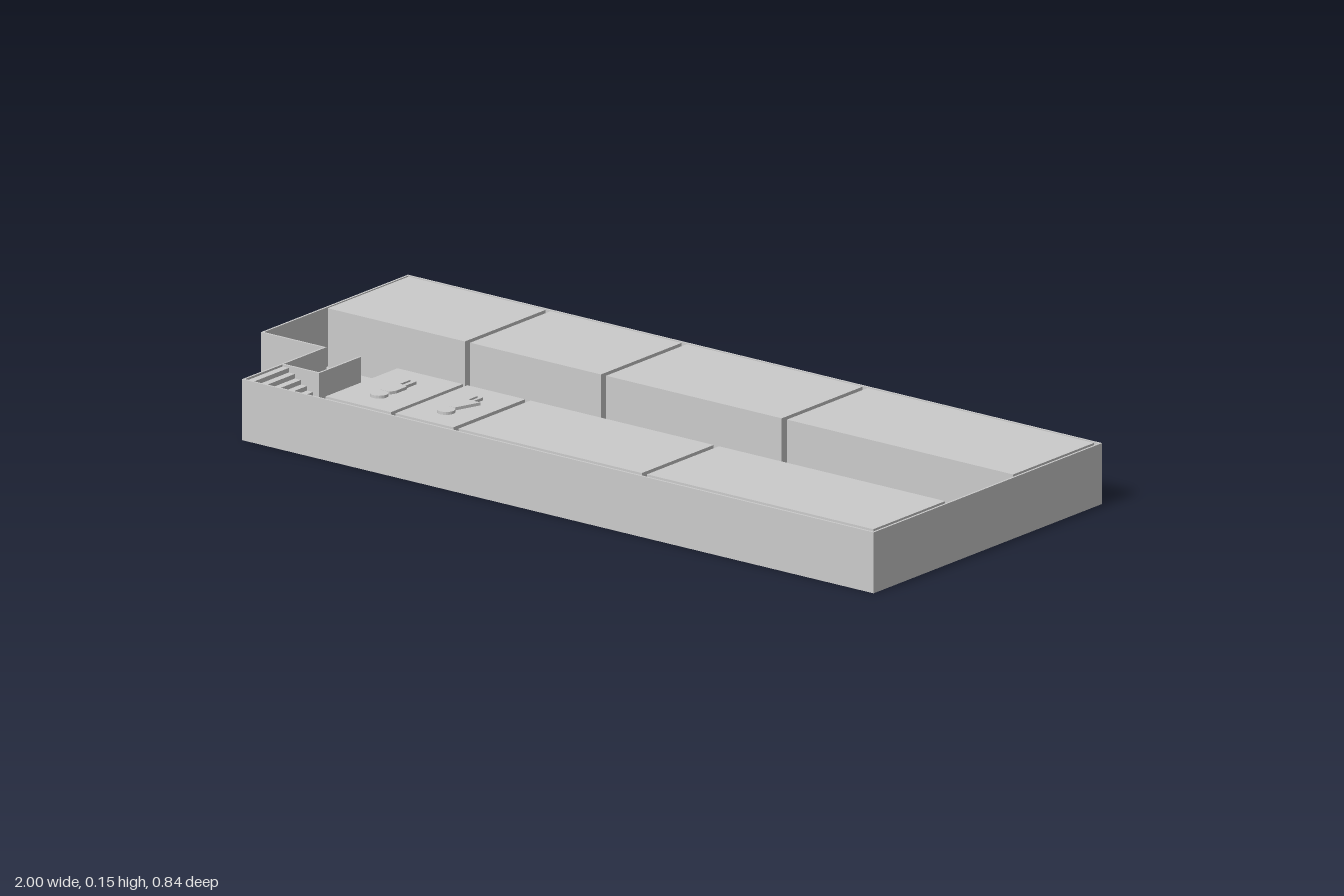
import * as THREE from 'three';

const H = 0.145, FLOOR = 0.004;
const material = new THREE.MeshStandardMaterial({ color: 0xcccccc, flatShading: true });

function box(name, x0, x1, y0, y1, z0, z1) {
  const mesh = new THREE.Mesh(new THREE.BoxGeometry(x1 - x0, y1 - y0, z1 - z0), material);
  mesh.position.set((x0 + x1) / 2, (y0 + y1) / 2, (z0 + z1) / 2);
  mesh.name = name;
  return mesh;
}

// Extrudes a plan drawn in (x, -z) upwards from height y
function slab(name, shape, y, height) {
  const geo = new THREE.ExtrudeGeometry(shape, { depth: height, bevelEnabled: false, curveSegments: 10 });
  geo.rotateX(-Math.PI / 2);
  const mesh = new THREE.Mesh(geo, material);
  mesh.position.y = y;
  mesh.name = name;
  return mesh;
}

// Building outline with the notched corner, inset by t, as (x, -z)
const outline = (t) => [
  [-1 + t, -0.12 + t], [-0.82 + t, -0.12 + t], [-0.82 + t, -0.418 + t],
  [1 - t, -0.418 + t], [1 - t, 0.418 - t], [-1 + t, 0.418 - t],
].map(([x, y]) => new THREE.Vector2(x, y));

// Raised pictogram of a standing person; half is the right half of the body
function figure(name, x, half) {
  const group = new THREE.Group();
  const mirrored = half.map(([a, b]) => [-a, b]).reverse();
  const points = [...half, ...mirrored].map(([a, b]) => new THREE.Vector2(a, b));
  const head = new THREE.Shape();
  head.absarc(0, -0.322, 0.021, 0, Math.PI * 2);
  group.add(slab(name + 'Head', head, H, 0.007));
  group.add(slab(name + 'Body', new THREE.Shape(points), H, 0.007));
  group.position.x = x;
  group.name = name;
  return group;
}

export function createModel() {
  const model = new THREE.Group();

  // Floor plate and thin outer wall
  model.add(slab('floor', new THREE.Shape(outline(0)), 0, FLOOR));
  const wall = new THREE.Shape(outline(0));
  wall.holes.push(new THREE.Path(outline(0.005)));
  model.add(slab('outerWall', wall, FLOOR, H - FLOOR));

  // Two rows of closed rooms on either side of the corridor
  const rows = [
    ['backRoom', -0.407, -0.112, [[-0.99, -0.595], [-0.58, -0.203], [-0.188, 0.318], [0.333, 0.985]]],
    ['frontRoom', 0.137, 0.4, [[-0.593, -0.405], [-0.392, -0.225], [-0.21, 0.318], [0.333, 0.985]]],
  ];
  for (const [name, z0, z1, spans] of rows) {
    spans.forEach(([x0, x1], i) => model.add(box(name + (i + 1), x0, x1, FLOOR, H, z0, z1)));
  }

  // Stairs: a flight from the corridor, a corner landing and a second flight
  const stairs = new THREE.Group();
  stairs.name = 'stairs';
  const steps = 6, mid = 0.075;
  for (let i = 0; i < steps; i++) {
    const z = 0.132 + i * 0.018;
    const y = FLOOR + (mid - FLOOR) * (i + 1) / (steps + 1);
    stairs.add(box('lowerStep', -0.71, -0.597, FLOOR, y, z, z + 0.018));
    const x = -0.71 - i * 0.0175;
    const y2 = mid + (H - 0.005 - mid) * (i + 1) / steps;
    stairs.add(box('upperStep', x - 0.0175, x, FLOOR, y2, 0.275, 0.407));
  }
  stairs.add(box('landing', -0.71, -0.597, FLOOR, mid, 0.24, 0.407));
  stairs.add(box('stairSideWall', -0.715, -0.71, FLOOR, H, 0.122, 0.275));
  stairs.add(box('stairBackWall', -0.815, -0.715, FLOOR, H, 0.27, 0.275));
  model.add(stairs);

  // Washroom signs, heads towards the front
  model.add(figure('manSign', -0.5, [
    [0.004, -0.24], [0.004, -0.203], [0.014, -0.203], [0.014, -0.245],
    [0.02, -0.245], [0.02, -0.285], [0.013, -0.3], [0.003, -0.3],
  ].reverse()));
  model.add(figure('womanSign', -0.307, [
    [0.004, -0.235], [0.004, -0.203], [0.012, -0.203], [0.012, -0.235],
    [0.03, -0.235], [0.008, -0.3],
  ].reverse()));

  return model;
}
